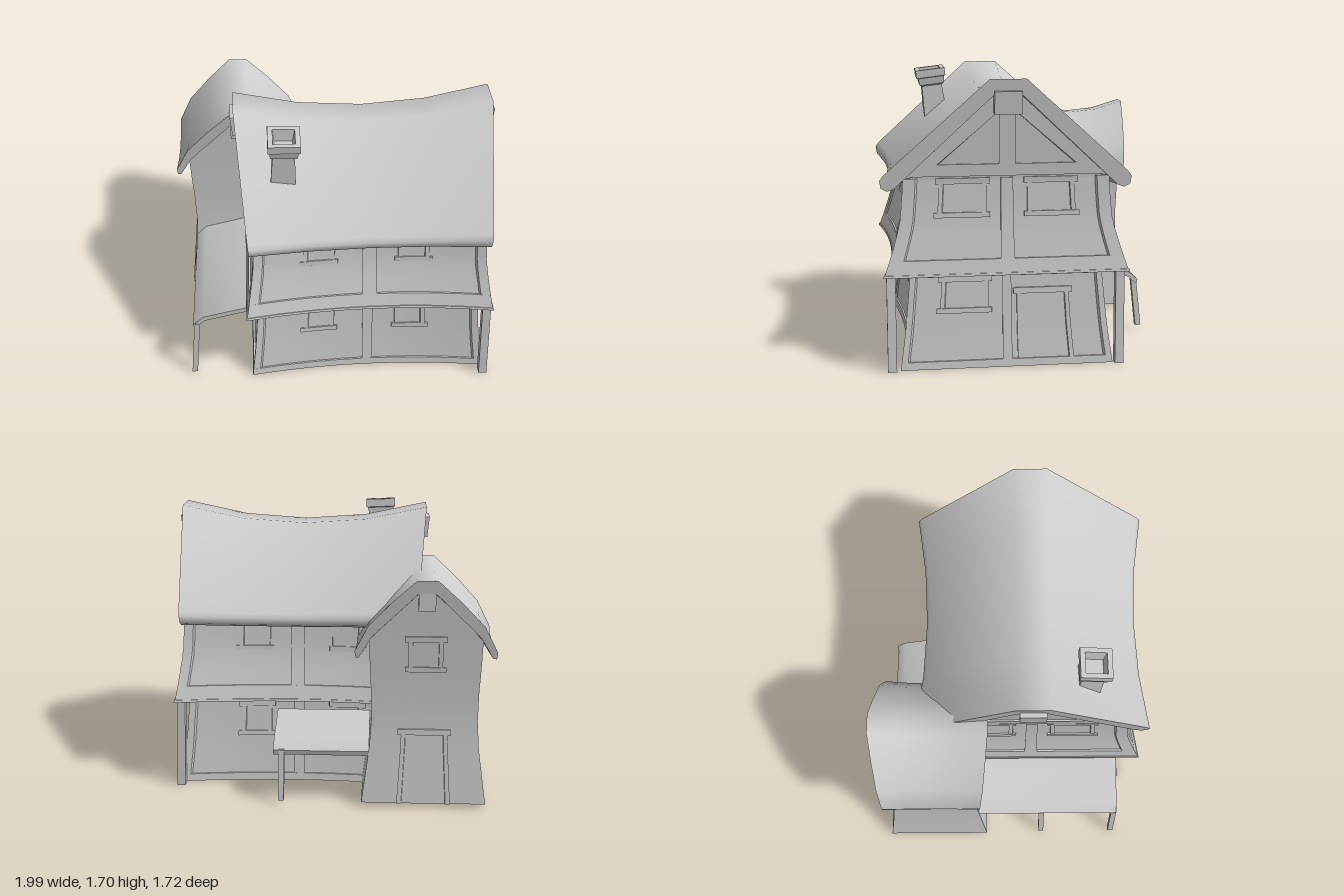
import * as THREE from 'three';
import { toCreasedNormals } from 'three/addons/utils/BufferGeometryUtils.js';

const smooth = new THREE.MeshStandardMaterial({ color: 0xcccccc, side: THREE.DoubleSide });
const flat = new THREE.MeshStandardMaterial({ color: 0xcccccc, flatShading: true, side: THREE.DoubleSide });
const lerp = THREE.MathUtils.lerp;

// Bodies: plan centre, inward bow of the long walls, and rows of [y, half width x, half depth z]
const ground = { cx: 0.2, cz: 0.13, bow: 0.09, rows: [[0, 0.745, 0.63], [0.25, 0.715, 0.595], [0.57, 0.69, 0.565]] };
const upper = { cx: 0.2, cz: 0.13, bow: 0.09, rows: [[0.57, 0.76, 0.715], [0.7, 0.738, 0.67], [0.87, 0.712, 0.62], [1.1, 0.7, 0.6], [1.65, 0.74, 0.6]] };
const tower = { cx: -0.58, cz: -0.5, bow: 0, rows: [[0.03, 0.375, 0.33], [0.4, 0.325, 0.285], [0.6, 0.315, 0.27], [1, 0.335, 0.285], [1.4, 0.335, 0.31]] };

function halves(body, y) {
  const r = body.rows;
  let i = 0;
  while (i < r.length - 2 && y > r[i + 1][0]) i++;
  const t = THREE.MathUtils.clamp((y - r[i][0]) / (r[i + 1][0] - r[i][0]), 0, 1);
  return [lerp(r[i][1], r[i + 1][1], t), lerp(r[i][2], r[i + 1][2], t)];
}

// Point on a wall: side 0 front, 1 +x, 2 back, 3 -x; f runs -1..1 across, d is outward
function onWall(body, side, f, y, d) {
  const [hx, hz] = halves(body, y).map((h) => h + d);
  const bowed = hz * (1 - body.bow * (1 - f * f));
  const [x, z] = [[f * hx, bowed], [hx, -f * hz], [-f * hx, -bowed], [-hx, f * hz]][side];
  return [body.cx + x, y, body.cz + z];
}

// Slab bent to follow a wall, corners: bottom left, bottom right, top right, top left
function slab(group, name, body, side, [a, b, c, e], d0, d1) {
  const g = new THREE.BoxGeometry(1, 1, 1, 8, 6, 1);
  const p = g.attributes.position;
  for (let i = 0; i < p.count; i++) {
    const u = p.getX(i) + 0.5, v = p.getY(i) + 0.5;
    const f = lerp(lerp(a[0], b[0], u), lerp(e[0], c[0], u), v);
    const y = lerp(lerp(a[1], b[1], u), lerp(e[1], c[1], u), v);
    p.setXYZ(i, ...onWall(body, side, f, y, lerp(d0, d1, p.getZ(i) + 0.5)));
  }
  g.computeVertexNormals();
  const m = new THREE.Mesh(g, smooth);
  m.name = name;
  group.add(m);
}
const rect = (f0, y0, f1, y1) => [[f0, y0], [f1, y0], [f1, y1], [f0, y1]];

// Frame with ledges; u is the distance from the wall's centre
function opening(group, name, body, side, u, y0, w, h, door = false) {
  const half = halves(body, y0 + h / 2)[side % 2 ? 1 : 0];
  const base = body === tower ? 0 : -0.012;
  const part = (x0, b, x1, t, d) =>
    slab(group, name, body, side, rect((u + x0) / half, b, (u + x1) / half, t), base - 0.01, base + d);
  const s = w / 2, bar = 0.025;
  part(-s, y0, -s + bar, y0 + h, 0.009);
  part(s - bar, y0, s, y0 + h, 0.009);
  part(-s - 0.02, y0 + h - 0.035, s + 0.02, y0 + h, 0.012);
  if (door) part(-s + bar, y0, s - bar, y0 + h - 0.035, 0.002);
  else {
    part(-s - 0.02, y0, s + 0.02, y0 + 0.03, 0.012);
    part(-s + bar, y0 + 0.03, s - bar, y0 + h - 0.035, 0.002);
  }
}

// Sagging thatched roof: half profile extruded along z, ends leaning out at the ridge
function roof(name, half, eave, ridge, sag, pinch) {
  const pts = [...half, ...half.slice().reverse().map(([a, y]) => [-a, y])];
  const shape = new THREE.Shape(pts.map(([a, y]) => new THREE.Vector2(a, y)));
  const g = new THREE.ExtrudeGeometry(shape, { depth: 2, steps: 4, bevelEnabled: false });
  g.translate(0, 0, -1);
  const ys = half.map((q) => q[1]), lo = Math.min(...ys), hi = Math.max(...ys);
  const p = g.attributes.position;
  for (let i = 0; i < p.count; i++) {
    const t = p.getZ(i), y = p.getY(i), h = (y - lo) / (hi - lo), k = 1 - t * t;
    p.setXYZ(i, p.getX(i) * (1 - pinch * k), y - k * (0.02 + (sag - 0.02) * h), t * lerp(eave, ridge, h));
  }
  const m = new THREE.Mesh(toCreasedNormals(g, 1), smooth);
  m.name = name;
  return m;
}

// Leaning square post between two points
function post(group, name, top, bottom, size) {
  const g = new THREE.BoxGeometry(size, 1, size);
  const p = g.attributes.position;
  for (let i = 0; i < p.count; i++) {
    const e = p.getY(i) > 0 ? top : bottom;
    p.setXYZ(i, p.getX(i) + e[0], e[1], p.getZ(i) + e[2]);
  }
  const m = new THREE.Mesh(g, flat);
  m.name = name;
  group.add(m);
}

function box(group, name, size, pos, tilt = 0) {
  const m = new THREE.Mesh(new THREE.BoxGeometry(...size), flat);
  m.position.set(...pos);
  m.rotation.z = tilt;
  m.name = name;
  group.add(m);
}

// Lean-to roof: top line of [outward distance, height], given thickness
function leanTo(name, line, length) {
  const pts = [...line, ...line.slice().reverse().map(([s, y]) => [s - 0.008, y - 0.03])];
  const shape = new THREE.Shape(pts.map(([s, y]) => new THREE.Vector2(s, y)));
  const g = new THREE.ExtrudeGeometry(shape, { depth: length, bevelEnabled: false });
  const m = new THREE.Mesh(toCreasedNormals(g, 0.8), smooth);
  m.name = name;
  return m;
}

export function createModel() {
  const model = new THREE.Group();
  const add = (name) => {
    const g = new THREE.Group();
    g.name = name;
    model.add(g);
    return g;
  };
  const lower = add('groundFloor'), top = add('upperFloor'), annex = add('tower'), sheds = add('leanTos');

  for (let s = 0; s < 4; s++) {
    const gable = s % 2 === 1;
    const edge = gable ? 0.88 : 0.92;

    // Plaster walls
    slab(lower, 'groundWall', ground, s, rect(-1, 0.01, 1, 0.6), -0.022, -0.012);
    slab(top, 'upperWall', upper, s, rect(-1, 0.57, 1, 1.12), -0.022, -0.012);

    // Ground floor timbers
    const beam = (g, body, ...r) => slab(g, 'timber', body, s, rect(...r), -0.022, 0);
    beam(lower, ground, -1, 0.005, 1, 0.05);
    beam(lower, ground, -1, 0.545, 1, 0.58);
    for (const [a, b] of [[-1, -0.94], [-0.045, 0.045], [0.94, 1]]) beam(lower, ground, a, 0.05, b, 0.545);

    // Upper floor timbers and overhanging jetty
    slab(top, 'jettyBeam', upper, s, rect(-1, 0.565, 1, 0.58), -0.16, 0.005);
    beam(top, upper, -1, 0.58, 1, 0.66);
    for (const [a, b] of [[-1, -edge], [-0.06, 0.06], [edge, 1]]) beam(top, upper, a, 0.66, b, 1.13);

    // Gable triangle with rafters and king post
    if (gable) {
      slab(top, 'gableWall', upper, s, [[-1, 1.1], [1, 1.1], [0.12, 1.63], [-0.12, 1.63]], -0.022, -0.012);
      beam(top, upper, -0.9, 1.14, 0.9, 1.21);
      beam(top, upper, -0.08, 1.2, 0.08, 1.6);
      slab(top, 'rafter', upper, s, [[0.77, 1.16], [1.05, 1.12], [0.15, 1.63], [0.07, 1.52]], -0.022, 0);
      slab(top, 'rafter', upper, s, [[-1.05, 1.12], [-0.77, 1.16], [-0.07, 1.52], [-0.15, 1.63]], -0.022, 0);
    }

    // Windows of the main house
    for (const u of gable ? [-0.26, 0.26] : s === 0 ? [-0.31, 0.27] : [-0.27, 0.31]) {
      opening(top, 'upperWindow', upper, s, u, gable ? 0.9 : 0.87, gable ? 0.28 : 0.19, 0.23);
      if (!gable) opening(lower, 'groundWindow', ground, s, u, 0.295, 0.19, 0.225);
    }

    // Tower walls
    slab(annex, 'towerWall', tower, s, rect(-1, 0.03, 1, 1.06), -0.01, 0);
    if (!gable) slab(annex, 'towerGable', tower, s, [[-1, 1.04], [1, 1.04], [0.2, 1.36], [-0.2, 1.36]], -0.01, 0);
  }

  // Side window, doors and tower windows
  opening(lower, 'groundWindow', ground, 1, -0.25, 0.33, 0.28, 0.22);
  opening(lower, 'sideDoor', ground, 1, 0.22, 0.05, 0.32, 0.42, true);
  opening(annex, 'towerDoor', tower, 2, 0, 0.03, 0.29, 0.46, true);
  opening(annex, 'towerWindow', tower, 2, 0, 0.85, 0.2, 0.22);
  opening(annex, 'towerWindow', tower, 3, 0, 0.58, 0.2, 0.22);

  // Roofs
  const mainRoof = roof('mainRoof', [[0.105, 1.7], [0.71, 1.155], [0.732, 1.125], [0.725, 1.08], [0.69, 1.06],
    [0.65, 1.075], [0.08, 1.61]], 0.715, 0.785, 0.11, 0.09);
  mainRoof.rotation.y = Math.PI / 2;
  mainRoof.position.set(0.19, 0, 0.13);
  const towerRoof = roof('towerRoof', [[0.06, 1.42], [0.2, 1.29], [0.34, 1.14], [0.42, 0.98], [0.415, 0.94], [0.395, 0.94],
    [0.32, 1.07], [0.05, 1.34]], 0.3, 0.36, 0.075, 0.02);
  towerRoof.position.set(-0.58, 0, -0.5);
  model.add(mainRoof, towerRoof);

  // Ridge beams
  box(top, 'ridgeBeam', [0.09, 0.13, 0.16], [0.943, 1.57, 0.13], -0.1);
  box(top, 'ridgeBeam', [0.09, 0.13, 0.16], [-0.565, 1.57, 0.13], 0.1);
  for (const z of [-0.19, -0.81]) box(annex, 'ridgeBeam', [0.1, 0.13, 0.07], [-0.58, 1.3, z]);

  // Chimney: square lathe with hollow cap
  const flue = [[0.078, -0.22], [0.066, 0.06], [0.08, 0.07], [0.086, 0.115], [0.096, 0.12], [0.096, 0.17], [0.066, 0.17], [0.055, 0.09], [0, 0.09]];
  const chimney = new THREE.Mesh(new THREE.LatheGeometry(
    flue.map(([r, y]) => new THREE.Vector2(r * Math.SQRT2, y)), 4, Math.PI / 4), flat);
  chimney.name = 'chimney';
  chimney.position.set(-0.305, 1.51, 0.48);
  chimney.rotation.set(0.12, 0, -0.04);
  model.add(chimney);

  // Corner posts under the jetty
  for (const z of [0.807, -0.535]) post(lower, 'cornerPost', [0.925, 0.57, z], [0.942, 0.005, z], 0.052);

  // Lean-to roofs with their posts
  const sideShed = leanTo('sideLeanTo', [[0.46, 0.565], [0.84, 0.475], [0.905, 0.415]], 0.92);
  sideShed.rotation.y = Math.PI;
  sideShed.position.z = 0.7;
  const backShed = leanTo('backLeanTo', [[0.45, 0.49], [0.74, 0.395], [0.795, 0.345]], 0.58);
  backShed.rotation.y = Math.PI / 2;
  backShed.position.x = -0.25;
  sheds.add(sideShed, backShed);
  for (const z of [0.685, 0.2]) post(sheds, 'leanToPost', [-0.88, 0.42, z], [-0.92, 0.01, z + 0.005], 0.035);
  post(sheds, 'leanToPost', [0.28, 0.35, -0.775], [0.285, 0.03, -0.81], 0.035);

  return model;
}
